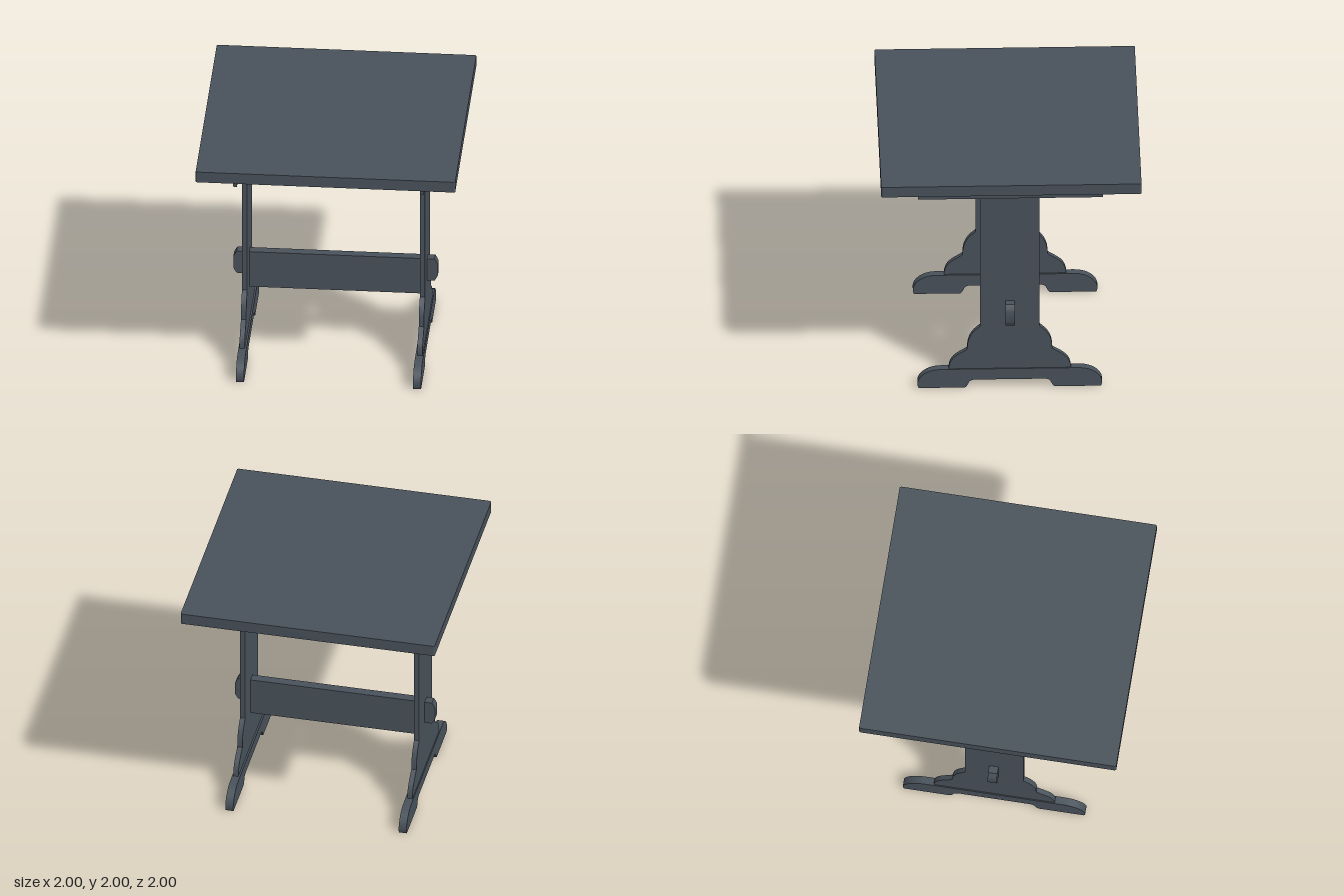
import * as THREE from 'three';
import { toCreasedNormals } from 'three/addons/utils/BufferGeometryUtils.js';

export function createModel() {
  const table = new THREE.Group();
  table.name = 'trestleTable';
  const paint = new THREE.MeshStandardMaterial({ color: 0x48515a });
  paint.name = 'slateGrey';

  const add = (name, geometry, x = 0, y = 0, z = 0) => {
    const mesh = new THREE.Mesh(geometry, paint);
    mesh.name = name;
    mesh.position.set(x, y, z);
    table.add(mesh);
  };

  // Extrudes an outline, centred on its depth
  const board = (shape, depth) => {
    const geometry = new THREE.ExtrudeGeometry(shape, { depth, bevelEnabled: false, curveSegments: 10 });
    geometry.translate(0, 0, -depth / 2);
    return toCreasedNormals(geometry, 0.5);
  };
  // Same, with the outline drawn in z and y and the thickness along x
  const sideBoard = (shape, depth) => board(shape, depth).rotateY(-Math.PI / 2);

  // Table top with slightly rounded corners
  const r = 0.015;
  const top = new THREE.Shape();
  top.absarc(1 - r, 1 - r, r, 0, Math.PI / 2);
  top.absarc(-1 + r, 1 - r, r, Math.PI / 2, Math.PI);
  top.absarc(-1 + r, -1 + r, r, Math.PI, Math.PI * 1.5);
  top.absarc(1 - r, -1 + r, r, Math.PI * 1.5, Math.PI * 2);
  add('tableTop', board(top, 0.09).rotateX(-Math.PI / 2), 0, 1.955, 0);

  // Upright with two scrolled steps at its base
  const leg = new THREE.Shape();
  leg.moveTo(-0.47, 0.165);
  leg.lineTo(0.47, 0.165);
  leg.bezierCurveTo(0.465, 0.28, 0.375, 0.3, 0.327, 0.34);
  leg.bezierCurveTo(0.327, 0.45, 0.285, 0.5, 0.228, 0.545);
  leg.lineTo(0.228, 1.91);
  leg.lineTo(-0.228, 1.91);
  leg.lineTo(-0.228, 0.545);
  leg.bezierCurveTo(-0.285, 0.5, -0.327, 0.45, -0.327, 0.34);
  leg.bezierCurveTo(-0.375, 0.3, -0.465, 0.28, -0.47, 0.165);

  // Foot with rounded toes and a raised arch
  const foot = new THREE.Shape();
  foot.moveTo(0.345, 0);
  foot.lineTo(0.7, 0);
  foot.bezierCurveTo(0.735, 0.06, 0.67, 0.165, 0.53, 0.165);
  foot.lineTo(-0.53, 0.165);
  foot.bezierCurveTo(-0.67, 0.165, -0.735, 0.06, -0.7, 0);
  foot.lineTo(-0.345, 0);
  foot.bezierCurveTo(-0.31, 0.02, -0.33, 0.07, -0.265, 0.07);
  foot.lineTo(0.265, 0.07);
  foot.bezierCurveTo(0.33, 0.07, 0.31, 0.02, 0.345, 0);

  const legGeometry = sideBoard(leg, 0.04);
  const footGeometry = sideBoard(foot, 0.062);
  const cleatGeometry = new THREE.BoxGeometry(0.03, 0.19, 1.42);
  for (const [label, s] of [['left', 1], ['right', -1]]) {
    add(label + 'Leg', legGeometry, s * 0.685, 0, 0.005);
    add(label + 'Foot', footGeometry, s * 0.682, 0, 0.005);
    add(label + 'Cleat', cleatGeometry, s * 0.72, 1.815, 0);

    // Stretcher end that passes through the leg
    const tenon = new THREE.Shape();
    tenon.moveTo(s * 0.665, 0.585);
    tenon.lineTo(s * 0.762, 0.585);
    tenon.quadraticCurveTo(s * 0.785, 0.62, s * 0.788, 0.635);
    tenon.lineTo(s * 0.788, 0.725);
    tenon.quadraticCurveTo(s * 0.785, 0.74, s * 0.762, 0.775);
    tenon.lineTo(s * 0.665, 0.775);
    add(label + 'Tenon', board(tenon, 0.072), 0, 0, 0.003);
  }

  // Rails between the legs
  add('stretcher', new THREE.BoxGeometry(1.33, 0.307, 0.072), 0, 0.6215, 0.003);
  add('topRail', new THREE.BoxGeometry(1.33, 0.19, 0.072), 0, 1.815, 0.003);

  return table;
}
